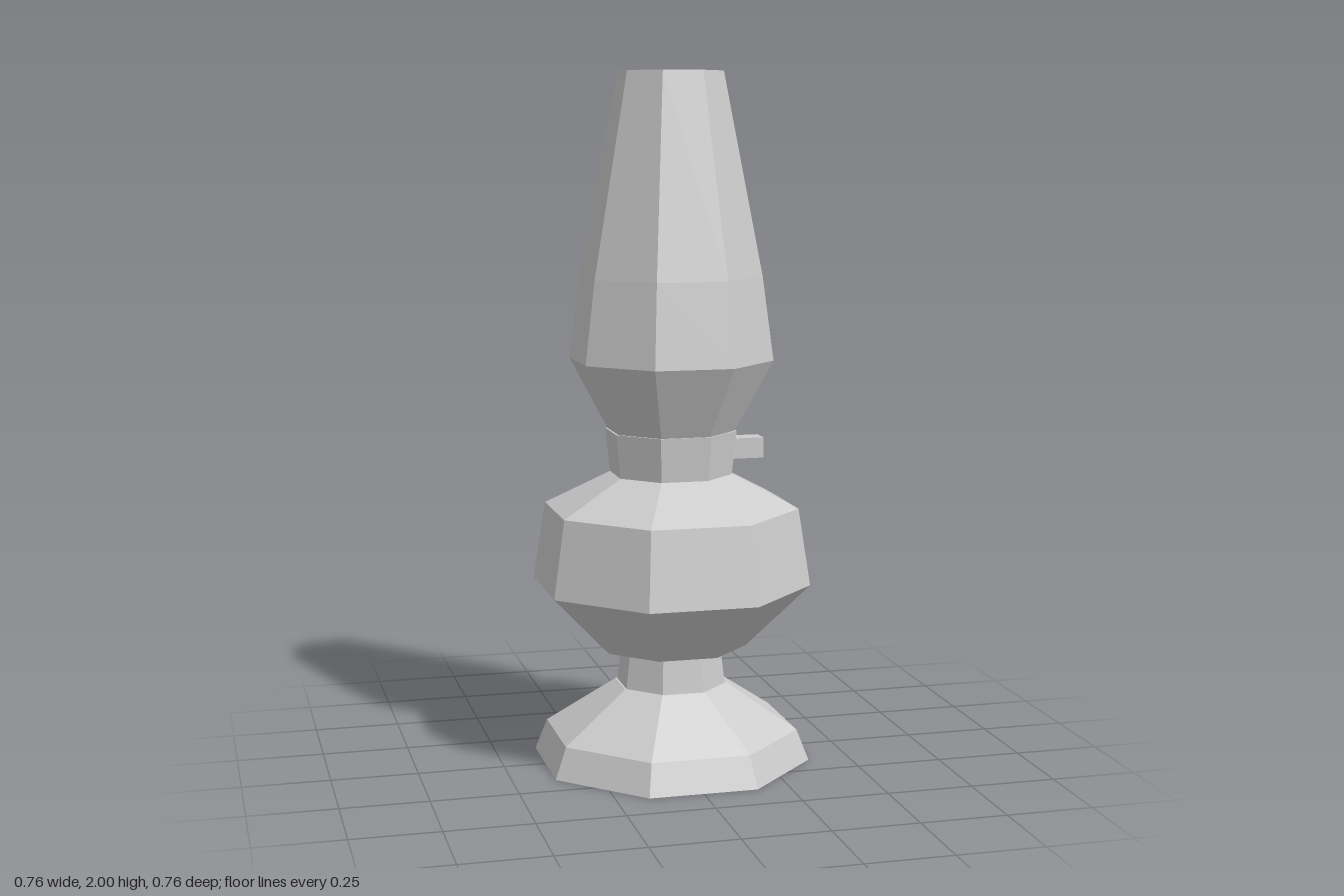
import * as THREE from 'three';

const SIDES = 8;
const TO_CORNER = 1 / Math.cos(Math.PI / SIDES); // flat-to-flat half width -> corner radius

export function createModel() {
  const model = new THREE.Group();
  model.name = 'oilLamp';

  const grey = new THREE.MeshStandardMaterial({ color: 0xcccccc, flatShading: true, side: THREE.DoubleSide });
  grey.name = 'plain grey';

  const add = (name, geometry) => {
    const mesh = new THREE.Mesh(geometry, grey);
    mesh.name = name;
    model.add(mesh);
    return mesh;
  };

  // Octagonal turned part with flats facing the axes; profile is [half width, y], bottom to top
  const turned = (name, profile) => add(name, new THREE.LatheGeometry(
    profile.map(([w, y]) => new THREE.Vector2(w * TO_CORNER, y)), SIDES, Math.PI / SIDES));

  // Foot with closed underside, and the neck above it
  turned('foot', [[0, 0], [0.378, 0], [0.345, 0.09], [0.153, 0.225], [0, 0.225]]);
  turned('neck', [[0.148, 0.225], [0.135, 0.34], [0.13, 0.36]]);

  // Oil bowl, open underneath around the neck
  turned('oilBowl', [[0.205, 0.34], [0.378, 0.525], [0.345, 0.75], [0.165, 0.848]]);

  // Burner collar with a flat lid
  turned('burner', [[0.165, 0.845], [0.178, 0.975], [0, 0.975]]);

  // Thin open glass chimney
  turned('chimney', [[0.172, 0.975], [0.275, 1.18], [0.245, 1.42], [0.14, 2]]);

  // Six-sided flame inside the chimney
  const flame = add('flame', new THREE.ConeGeometry(0.066, 0.25, 6, 1, false, Math.PI / 2));
  flame.position.y = 1.1;

  // Wick adjuster on the lamp's left
  const knob = add('wickKnob', new THREE.BoxGeometry(0.1, 0.06, 0.06));
  knob.position.set(0.222, 0.915, 0);

  return model;
}
